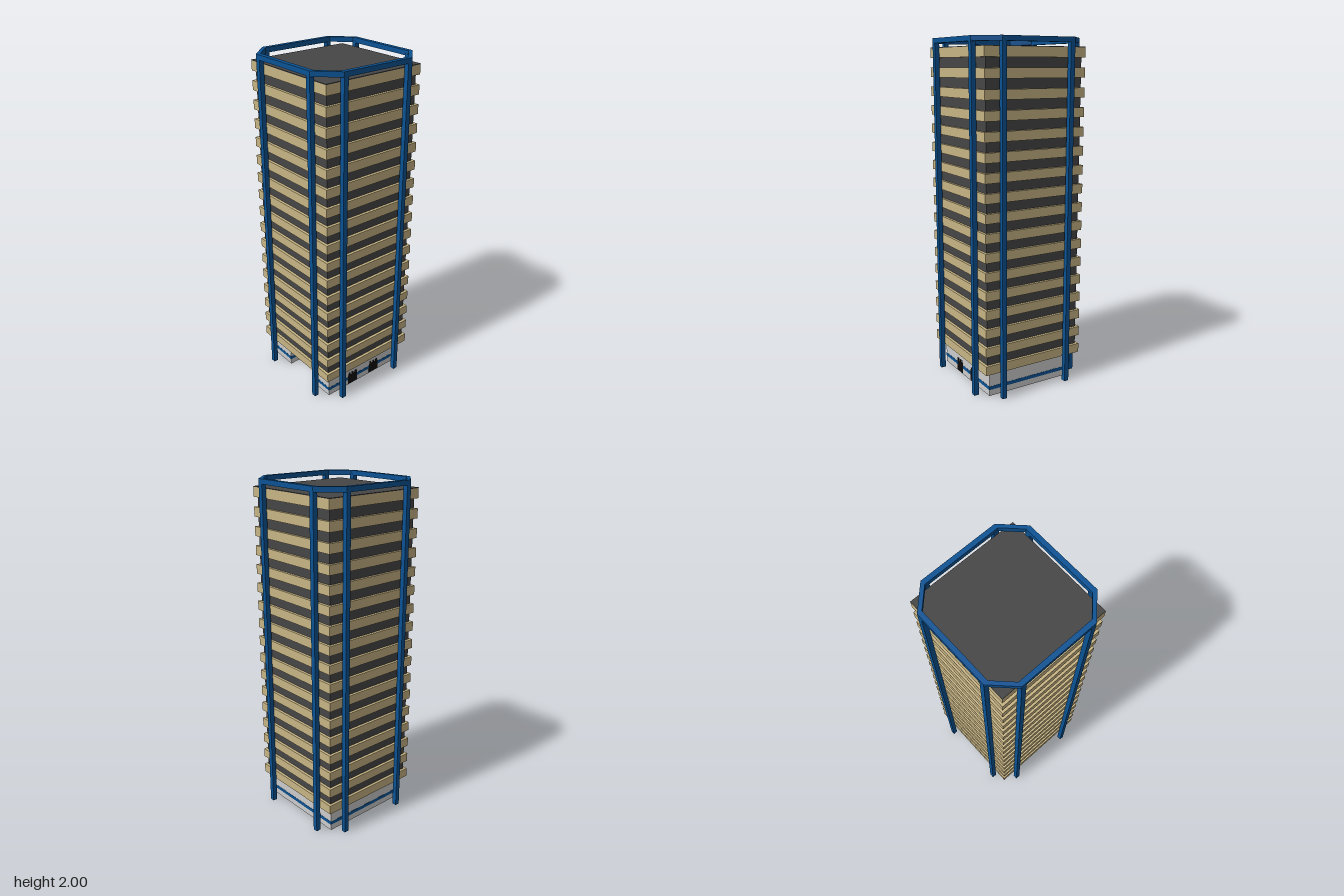
import * as THREE from 'three';

const mat = (name, color) => {
  const m = new THREE.MeshStandardMaterial({ color });
  m.name = name;
  return m;
};

export function createModel() {
  const tan = mat('tan panel', 0xc8b584);
  const glass = mat('dark glass', 0x464646);
  const blue = mat('blue steel', 0x0b5394);
  const stone = mat('pale stone', 0xcccccc);
  const black = mat('black pane', 0x0c0c0c);

  const model = new THREE.Group();
  model.name = 'officeTower';

  const add = (name, geometry, material, x = 0, y = 0, z = 0, parent = model) => {
    const mesh = new THREE.Mesh(geometry, material);
    mesh.name = name;
    mesh.position.set(x, y, z);
    parent.add(mesh);
    return mesh;
  };
  const group = (name) => {
    const g = new THREE.Group();
    g.name = name;
    model.add(g);
    return g;
  };
  const points = (list) => list.map(([x, z]) => new THREE.Vector2(x, z));

  // Horizontal ring between two outlines given in (x, z), standing from y0 to y1
  const ring = (outer, inner, y0, y1) => {
    const shape = new THREE.Shape(points(outer));
    shape.holes.push(new THREE.Path(points(inner)));
    return new THREE.ExtrudeGeometry(shape, { depth: y1 - y0, bevelEnabled: false })
      .rotateX(Math.PI / 2)
      .translate(0, y1, 0);
  };
  const square = (h) => [[-h, -h], [h, -h], [h, h], [-h, h]];

  // Storeys: projecting tan bands with recessed dark glazing between them
  const floors = 17, pitch = 0.1087, bandHeight = 0.054, bottom = 0.153;
  const storeys = group('storeys');
  const bandGeo = ring(square(0.32), square(0.275), 0, bandHeight);
  const glassGeo = ring(square(0.304), square(0.285), bandHeight, pitch);
  for (let i = 0; i < floors; i++) {
    const y = bottom + i * pitch;
    add('floorBand', bandGeo, tan, 0, y, 0, storeys);
    if (i < floors - 1) add('glazing', glassGeo, glass, 0, y, 0, storeys);
  }
  const roofY = bottom + (floors - 1) * pitch + bandHeight;
  add('roof', new THREE.BoxGeometry(0.64, 0.004, 0.64), glass, 0, roofY + 0.002, 0);

  // Ground floor: thin walls with a recessed front entrance; e offsets the outline
  const wall = 0.006, half = 0.275, notch = 0.115, recess = 0.155;
  const plan = (e) => {
    const h = half + e, w = notch - e, r = recess + e;
    return [[-h, -h], [h, -h], [h, h], [w, h], [w, r], [-w, r], [-w, h], [-h, h]];
  };
  add('groundFloorWalls', ring(plan(0), plan(-wall), 0, bottom), stone);
  add('wallStripe', ring(plan(0.001), plan(-wall - 0.001), 0.037, 0.058), blue);

  // Entrance panes: x0, x1, y0, y1
  const entrance = group('entrance');
  const paneDepth = wall + 0.003;
  [
    [-0.112, -0.06, 0.115, 0.142],
    [-0.05, 0.05, 0.115, 0.142],
    [0.06, 0.112, 0.115, 0.142],
    [-0.112, -0.065, 0.004, 0.105],
    [0.065, 0.112, 0.004, 0.105],
    [-0.045, 0.045, 0.052, 0.09],
    [-0.045, 0.045, 0.006, 0.047],
  ].forEach(([x0, x1, y0, y1]) => {
    add('entrancePane', new THREE.BoxGeometry(x1 - x0, y1 - y0, paneDepth), black,
      (x0 + x1) / 2, (y0 + y1) / 2, recess - wall / 2, entrance);
  });

  // Side windows with three small upper panes each
  const windows = group('sideWindows');
  for (const z of [0.087, -0.088]) {
    const x = half - wall / 2;
    add('windowPane', new THREE.BoxGeometry(paneDepth, 0.066, 0.074), black, x, 0.038, z, windows);
    for (const dz of [-0.025, 0, 0.025]) {
      add('upperPane', new THREE.BoxGeometry(paneDepth, 0.016, 0.014), black, x, 0.078, z + dz, windows);
    }
  }

  // Exterior frame: eight columns joined by an octagonal ring
  const octagon = (r, c) => [
    [-c, -r], [c, -r], [r, -c], [r, c], [c, r], [-c, r], [-r, c], [-r, -c],
  ];
  const frame = group('exteriorFrame');
  add('topRing', ring(octagon(0.347, 0.228), octagon(0.32, 0.225), 1.972, 2), blue, 0, 0, 0, frame);
  const columnGeo = new THREE.BoxGeometry(0.028, 1.98, 0.028);
  for (const sx of [-1, 1]) {
    for (const sz of [-1, 1]) {
      add('column', columnGeo, blue, sx * 0.333, 0.99, sz * 0.215, frame);
      add('column', columnGeo, blue, sx * 0.215, 0.99, sz * 0.333, frame);
    }
  }

  return model;
}
